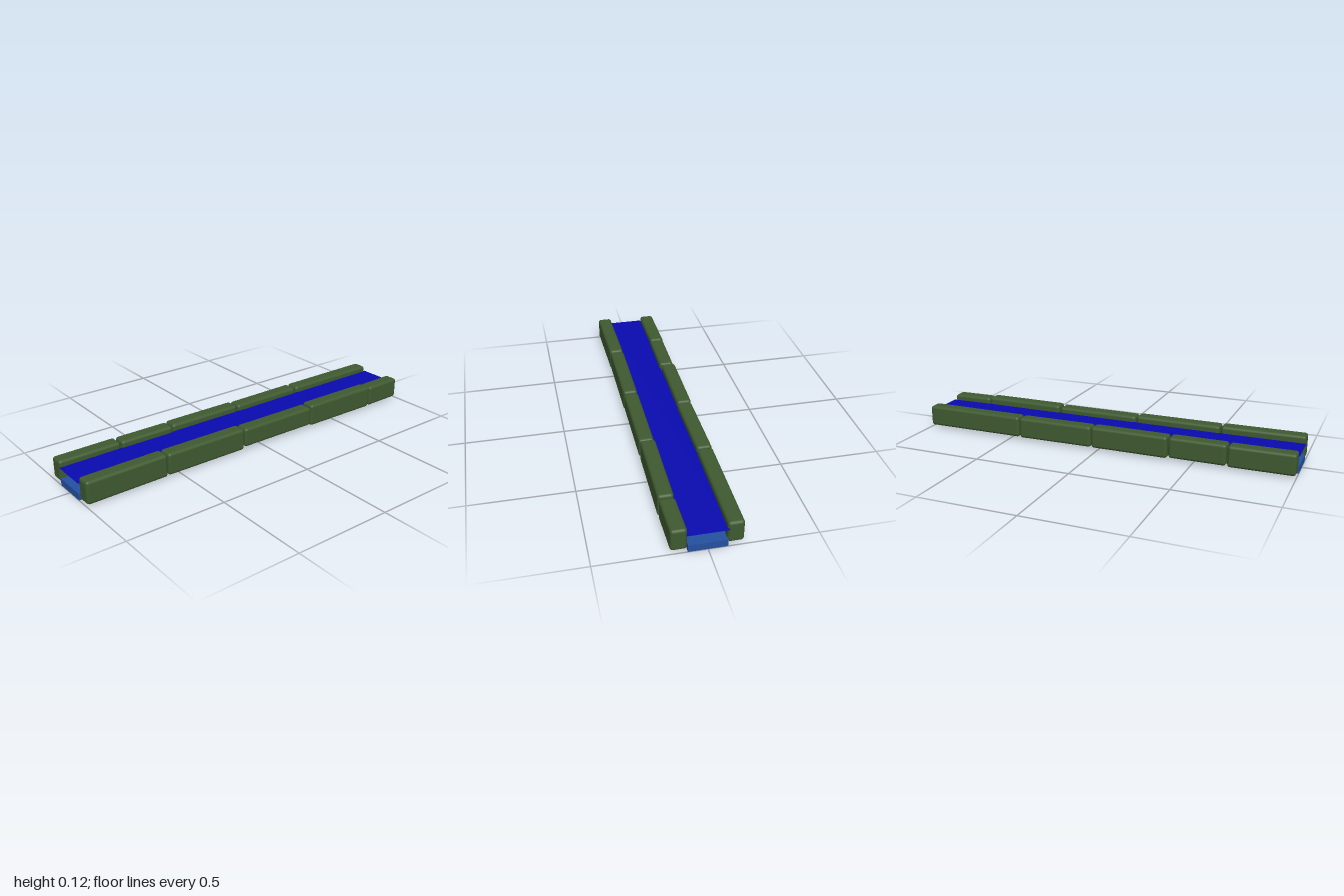
import * as THREE from 'three';
import { RoundedBoxGeometry } from 'three/addons/geometries/RoundedBoxGeometry.js';

export function createModel() {
  const model = new THREE.Group();
  model.name = 'waterChannel';
  const stoneMat = new THREE.MeshStandardMaterial({ color: 0x3f5a30 });
  const bedMat = new THREE.MeshStandardMaterial({ color: 0x2450a0 });
  const waterMat = new THREE.MeshStandardMaterial({ color: 0x0a0ab0, side: THREE.DoubleSide });

  // Channel bed: thin slab on the ground
  const bed = new THREE.Mesh(new THREE.BoxGeometry(2, 0.035, 0.176), bedMat);
  bed.name = 'channelBed';
  bed.position.y = 0.0175;
  model.add(bed);

  // Water surface: flat sheet between the kerbs, open at both ends
  const water = new THREE.Mesh(new THREE.PlaneGeometry(2, 0.188), waterMat);
  water.name = 'waterSurface';
  water.rotation.x = -Math.PI / 2;
  water.position.y = 0.088;
  model.add(water);

  // Kerb stones: [start x, end x, bottom y, top y, centre z, yaw]
  const rows = {
    front: [
      [-0.998, -0.573, 0.008, 0.124, 0.129, 0.012],
      [-0.567, -0.118, 0.009, 0.122, 0.126, -0.006],
      [-0.112, 0.327, 0.018, 0.118, 0.128, -0.008],
      [0.333, 0.767, 0.008, 0.125, 0.129, -0.012],
      [0.773, 0.994, 0.009, 0.119, 0.128, 0.016],
    ],
    back: [
      [-0.998, -0.673, 0.011, 0.119, -0.131, 0.006],
      [-0.667, -0.378, 0.013, 0.120, -0.127, -0.010],
      [-0.372, 0.032, 0.011, 0.121, -0.131, -0.008],
      [0.038, 0.442, 0.011, 0.119, -0.128, 0.006],
      [0.448, 0.994, 0.012, 0.120, -0.126, -0.007],
    ],
  };
  for (const [name, stones] of Object.entries(rows)) {
    const row = new THREE.Group();
    row.name = name + 'Kerb';
    stones.forEach(([x0, x1, y0, y1, z, yaw], i) => {
      const geo = new RoundedBoxGeometry(x1 - x0, y1 - y0, 0.075, 4, 0.015);
      const stone = new THREE.Mesh(geo, stoneMat);
      stone.name = name + 'Stone' + (i + 1);
      stone.position.set((x0 + x1) / 2, (y0 + y1) / 2, z);
      stone.rotation.y = yaw;
      row.add(stone);
    });
    model.add(row);
  }
  return model;
}
